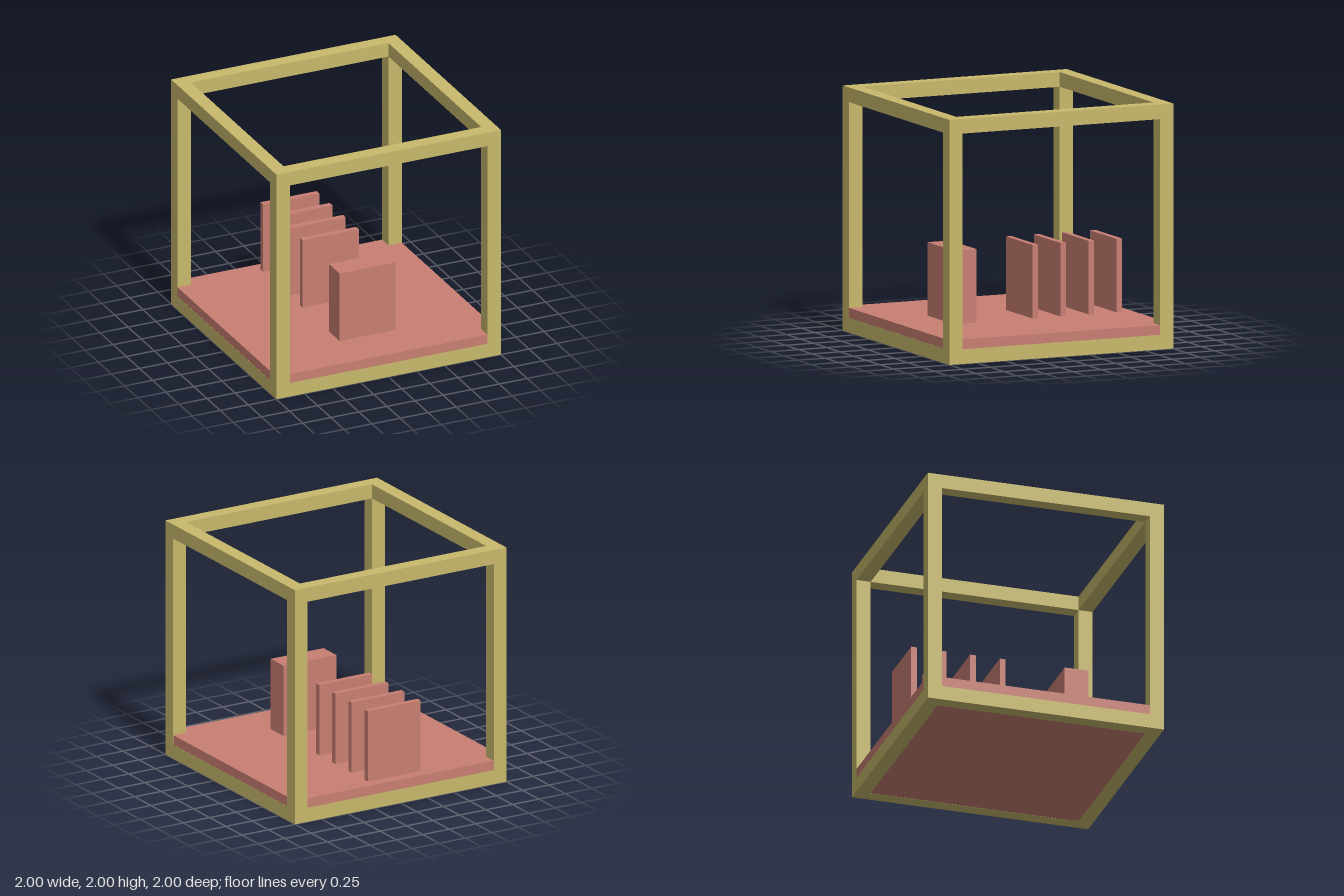
import * as THREE from 'three';

export function createModel() {
  const model = new THREE.Group();
  const frameMat = new THREE.MeshStandardMaterial({ color: 0xc8b96c });
  frameMat.name = 'ochre frame';
  const redMat = new THREE.MeshStandardMaterial({ color: 0xc97f73 });
  redMat.name = 'soft red';

  const box = (name, parent, mat, size, pos) => {
    const mesh = new THREE.Mesh(new THREE.BoxGeometry(...size), mat);
    mesh.name = name;
    mesh.position.set(...pos);
    parent.add(mesh);
  };

  // Open cube frame: four posts, and beams between them at top and bottom
  const T = 0.12, C = 1 - T / 2, INNER = 2 - 2 * T;
  const frame = new THREE.Group();
  frame.name = 'frame';
  model.add(frame);
  for (const a of [-1, 1]) {
    for (const b of [-1, 1]) {
      box('post', frame, frameMat, [T, 2, T], [a * C, 1, b * C]);
      const y = 1 + b * C;
      box('crossBeam', frame, frameMat, [INNER, T, T], [0, y, a * C]);
      box('sideBeam', frame, frameMat, [T, T, INNER], [a * C, y, 0]);
    }
  }

  // Floor slab, a hair inside the frame faces so they do not overlap
  box('floorSlab', model, redMat, [1.998, 0.199, 1.998], [0, 0.1005, 0]);

  // Thick block at the front, row of thin panels behind it
  box('frontBlock', model, redMat, [0.5, 0.6, 0.2], [0, 0.5, 0.5]);
  const panels = new THREE.Group();
  panels.name = 'panels';
  model.add(panels);
  for (let i = 0; i < 4; i++) {
    box('panel', panels, redMat, [0.5, 0.6, 0.05], [0, 0.5, -0.125 - i * 0.25]);
  }

  return model;
}
